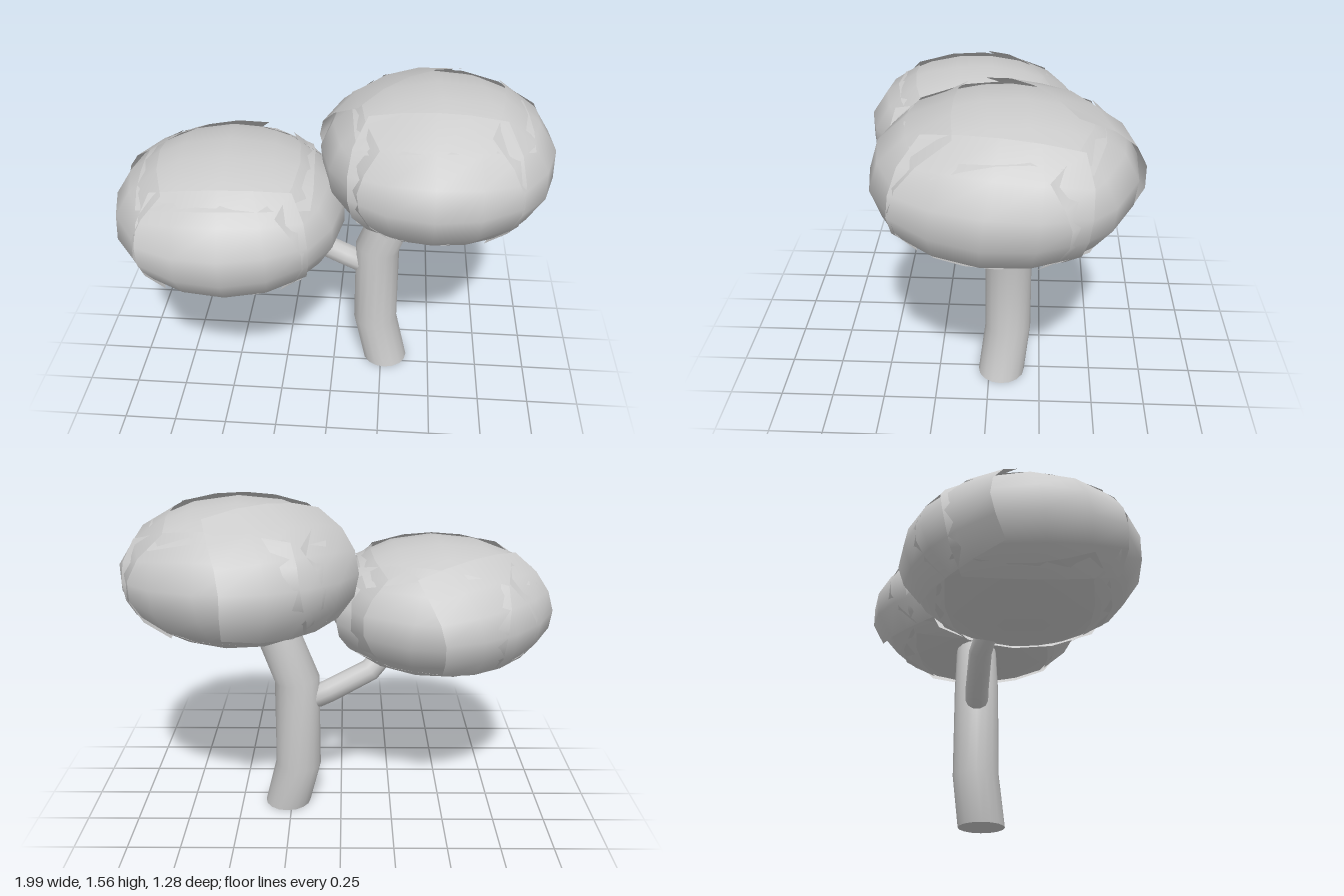
import * as THREE from 'three';

const material = new THREE.MeshStandardMaterial({ color: 0xcccccc, side: THREE.DoubleSide });
const rad = THREE.MathUtils.degToRad;

// Bent tube with straight sections, smooth around and closed at the ends
function limb(name, points, radii, sides) {
  const positions = [], index = [];
  const centres = points.map(p => new THREE.Vector3(...p));
  centres.forEach((c, i) => {
    const dir = centres[Math.min(i + 1, centres.length - 1)].clone().sub(centres[Math.max(i - 1, 0)]).normalize();
    if (i === 0 && c.y === 0) dir.set(0, 1, 0); // flat foot
    const a = new THREE.Vector3(0, 0, 1).addScaledVector(dir, -dir.z).normalize();
    const b = dir.clone().cross(a);
    for (let j = 0; j < sides; j++) {
      const t = j / sides * Math.PI * 2;
      const p = c.clone().addScaledVector(a, Math.cos(t) * radii[i]).addScaledVector(b, Math.sin(t) * radii[i]);
      positions.push(p.x, p.y, p.z);
      if (i > 0) {
        const k = (j + 1) % sides, lo = (i - 1) * sides, hi = i * sides;
        index.push(lo + j, lo + k, hi + k, lo + j, hi + k, hi + j);
      }
    }
  });
  // End caps with their own vertices so the rims stay sharp
  [0, centres.length - 1].forEach((ring, end) => {
    const start = positions.length / 3;
    for (let j = 0; j < sides; j++) positions.push(...positions.slice((ring * sides + j) * 3, (ring * sides + j) * 3 + 3));
    for (let j = 1; j < sides - 1; j++) {
      index.push(start, start + (end ? j : j + 1), start + (end ? j + 1 : j));
    }
  });
  const geometry = new THREE.BufferGeometry();
  geometry.setAttribute('position', new THREE.Float32BufferAttribute(positions, 3));
  geometry.setIndex(index);
  geometry.computeVertexNormals();
  const mesh = new THREE.Mesh(geometry, material);
  mesh.name = name;
  return mesh;
}

// One curved foliage panel: a grid bent onto an ellipsoid, its rim flaring out slightly
function panel(radii, { yaw, pitch, twist = 0, w, h, lift = 1 }) {
  const geometry = new THREE.PlaneGeometry(2, 2, 4, 5);
  const pos = geometry.attributes.position;
  const turn = new THREE.Euler(rad(-pitch), rad(yaw), rad(twist), 'YXZ');
  const v = new THREE.Vector3();
  for (let i = 0; i < pos.count; i++) {
    const x = pos.getX(i), y = pos.getY(i);
    v.set(Math.tan(rad(x * w)) * (1 + 0.3 * y * y), Math.tan(rad(y * h)), 1).normalize();
    v.applyEuler(turn).multiply(radii).multiplyScalar(lift + 0.02 * (x * x + y * y));
    pos.setXYZ(i, v.x, v.y, v.z);
  }
  geometry.computeVertexNormals();
  return new THREE.Mesh(geometry, material);
}

// Rounded crown made of overlapping panels around a hidden core
function crown(name, centre, size, panels) {
  const group = new THREE.Group();
  group.name = name;
  group.position.set(...centre);
  const radii = new THREE.Vector3(...size);
  const core = new THREE.Mesh(new THREE.SphereGeometry(1, 20, 14), material);
  core.scale.copy(radii).multiplyScalar(0.9);
  core.name = 'foliageCore';
  group.add(core);
  panels.forEach((p, i) => {
    const mesh = panel(radii, p);
    mesh.name = 'foliagePanel' + (i + 1);
    group.add(mesh);
  });
  return group;
}

export function createModel() {
  const model = new THREE.Group();
  model.name = 'tree';

  model.add(limb('trunk',
    [[0.27, 0, -0.06], [0.212, 0.24, -0.09], [0.212, 0.69, -0.09], [0.32, 0.98, -0.09], [0.36, 1.1, -0.09]],
    [0.113, 0.111, 0.109, 0.102, 0.09], 16));
  model.add(limb('branch',
    [[0.16, 0.57, -0.09], [0.12, 0.593, -0.09], [0.05, 0.627, -0.09], [-0.14, 0.73, -0.08], [-0.26, 0.86, -0.03]],
    [0.035, 0.056, 0.056, 0.054, 0.05], 10));

  model.add(crown('upperCrown', [0.465, 1.235, -0.075], [0.535, 0.325, 0.56], [
    { yaw: -2, pitch: 10, twist: 1, w: 43, h: 59, lift: 1.005 },
    { yaw: 83, pitch: 1, twist: -4, w: 43, h: 58, lift: 1.01 },
    { yaw: 219, pitch: 17, twist: -5, w: 40, h: 55, lift: 1.025 },
    { yaw: 166, pitch: -4, twist: 4, w: 48, h: 54, lift: 1 },
    { yaw: -86, pitch: -4, twist: 3, w: 47, h: 54, lift: 0.995 },
    { yaw: 6, pitch: 90, w: 46, h: 46, lift: 0.985 },
    { yaw: 6, pitch: -90, w: 46, h: 46, lift: 0.99 },
  ]));
  model.add(crown('lowerCrown', [-0.465, 1.015, 0.1], [0.53, 0.318, 0.535], [
    { yaw: 3, pitch: 0, twist: 1, w: 43, h: 57, lift: 1.005 },
    { yaw: -86, pitch: 1, twist: 6, w: 44, h: 54, lift: 1.01 },
    { yaw: 215, pitch: 9, twist: 5, w: 37, h: 50, lift: 1.025 },
    { yaw: 163, pitch: 0, twist: -3, w: 47, h: 53, lift: 1 },
    { yaw: 90, pitch: 0, twist: 3, w: 47, h: 53, lift: 1 },
    { yaw: 4, pitch: 90, w: 46, h: 46, lift: 0.99 },
    { yaw: -4, pitch: -90, w: 46, h: 46, lift: 0.99 },
  ]));
  return model;
}
